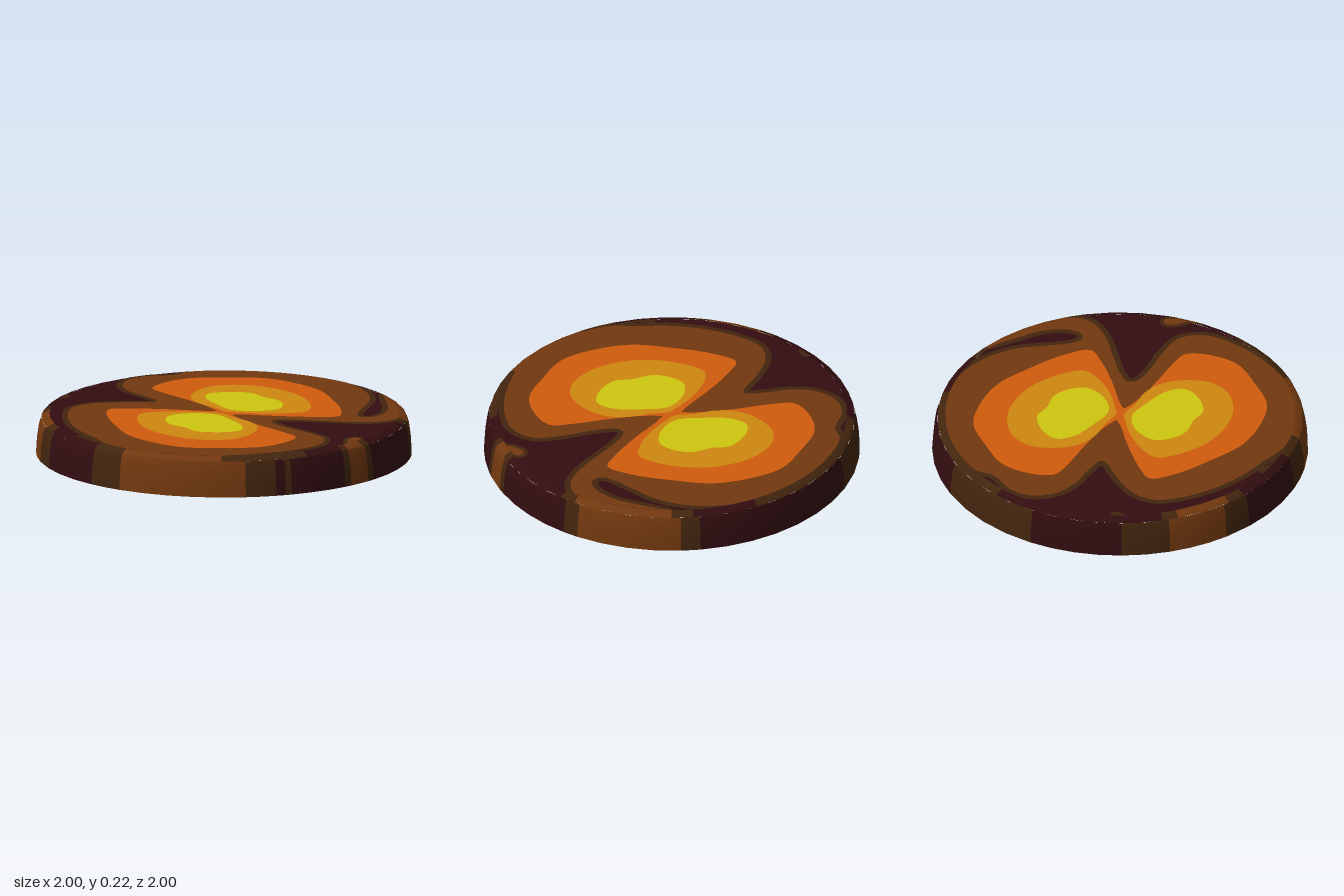
import * as THREE from 'three';

const mat = (name, color) => {
  const m = new THREE.MeshStandardMaterial({ color });
  m.name = name;
  return m;
};

export function createModel() {
  const group = new THREE.Group();
  const maroon = mat('maroon', 0x320d10), dark = mat('darkBrown', 0x42250e), brown = mat('brown', 0x72380f);
  const orange = mat('orange', 0xd05c0d), amber = mat('amber', 0xce880f), yellow = mat('yellow', 0xcec610);

  const add = (name, geometry, material) => {
    const mesh = new THREE.Mesh(geometry, material);
    mesh.name = name;
    group.add(mesh);
  };

  // Flat plate facing up from [x, z] outline points, smoothed, optionally grown outward
  const MAX_R = 0.93;
  const plate = (name, pts, y, material, grow = 0) => {
    const curve = new THREE.CatmullRomCurve3(pts.map(([x, z]) => new THREE.Vector3(x, -z, 0)), true);
    const line = curve.getPoints(pts.length * 6).slice(0, -1).map(p => new THREE.Vector2(p.x, p.y));
    const side = THREE.ShapeUtils.isClockWise(line) ? -1 : 1;
    const n = line.length;
    const outline = line.map((p, i) => {
      const t = line[(i + 1) % n].clone().sub(line[(i + n - 1) % n]).normalize();
      return new THREE.Vector2(p.x + t.y * side * grow, p.y - t.x * side * grow).clampLength(0, MAX_R);
    });
    add(name, new THREE.ShapeGeometry(new THREE.Shape(outline)).rotateX(-Math.PI / 2).translate(0, y, 0), material);
  };

  // Lathed bands around the rim: each entry is [end angle, colour], angles run from the front toward +x
  const bands = (name, profile, start, list) => {
    const points = profile.map(([r, y]) => new THREE.Vector2(r, y));
    let from = start;
    for (const [to, material] of list) {
      const span = to - from;
      add(name, new THREE.LatheGeometry(points, Math.ceil(span / 9),
        THREE.MathUtils.degToRad(from), THREE.MathUtils.degToRad(span)), material);
      from = to;
    }
  };
  bands('sideWall', [[1, 0], [0.995, 0.08], [0.985, 0.15], [0.972, 0.19]], -33, [
    [7.5, brown], [17, dark], [20, maroon], [22, dark], [41, maroon], [43.5, dark], [51, brown], [53.5, dark],
    [82, maroon], [87, dark], [120, brown], [126, dark], [184, maroon], [220, dark], [249, maroon],
    [264, dark], [283, brown], [292, dark], [316, maroon], [327, dark]]);
  bands('bevel', [[0.972, 0.19], [0.958, 0.203], [0.93, 0.212]], -33, [
    [0, brown], [28, dark], [41, maroon], [43.5, dark], [50, brown], [53, dark],
    [80, maroon], [85, dark], [117, brown], [124, dark], [145, maroon], [206, dark], [262, maroon],
    [267, dark], [285, brown], [291, dark], [316, maroon], [327, dark]]);

  // Top face and its stacked colour layers
  add('topFace', new THREE.CircleGeometry(0.932, 40).rotateX(-Math.PI / 2).translate(0, 0.2105, 0), maroon);
  const swirl = [
    [-0.36, -0.25], [-0.42, -0.35], [-0.5, -0.45], [-0.55, -0.58], [-0.52, -0.72], [-0.42, -0.8], [-0.28, -0.83],
    [-0.2, -0.9], [0, -0.93], [0.25, -0.9], [0.45, -0.83], [0.62, -0.7], [0.74, -0.5], [0.77, -0.3], [0.74, -0.15],
    [0.71, 0], [0.72, 0.06], [0.77, 0.08], [0.83, 0.03], [0.87, -0.1], [0.86, -0.25], [0.85, -0.42], [0.88, -0.45],
    [0.93, -0.3], [0.95, -0.1], [0.94, 0.08], [0.85, 0.17], [0.7, 0.19], [0.5, 0.16], [0.35, 0.14], [0.27, 0.15],
    [0.26, 0.2], [0.33, 0.3], [0.45, 0.42], [0.54, 0.55], [0.52, 0.68], [0.42, 0.78], [0.25, 0.87], [0, 0.93],
    [-0.2, 0.92], [-0.4, 0.85], [-0.6, 0.7], [-0.68, 0.55], [-0.76, 0.4], [-0.82, 0.2], [-0.83, 0], [-0.8, -0.12],
    [-0.7, -0.2], [-0.5, -0.23], [-0.4, -0.23]];
  plate('swirlEdge', swirl, 0.212, dark, 0.032);
  plate('swirl', swirl, 0.2135, brown);

  // Small stray patches near the rim
  const bump = [[0.66, 0.64], [0.67, 0.54], [0.71, 0.52], [0.74, 0.55], [0.72, 0.61], [0.69, 0.67]];
  plate('rimPatchEdge', bump, 0.212, dark, 0.015);
  plate('rimPatch', bump, 0.2135, brown, -0.008);
  plate('rimPatch', [[-0.92, -0.33], [-0.89, -0.38], [-0.83, -0.38], [-0.83, -0.34], [-0.88, -0.31]], 0.212, dark);
  plate('rimPatch', [[-0.78, 0.5], [-0.74, 0.5], [-0.71, 0.58], [-0.62, 0.62], [-0.62, 0.7], [-0.75, 0.6]], 0.212, dark);

  // Two glowing lobes, one the half-turn of the other
  const lobes = [
    ['outerLobe', orange, 0.215, [
      [-0.02, 0.02], [-0.05, -0.06], [-0.1, -0.15], [-0.2, -0.28], [-0.33, -0.43], [-0.39, -0.53], [-0.33, -0.65],
      [-0.2, -0.75], [0, -0.77], [0.2, -0.76], [0.36, -0.66], [0.5, -0.5], [0.57, -0.3], [0.62, -0.08],
      [0.61, 0.07], [0.5, 0.085], [0.3, 0.07], [0.12, 0.04]]],
    ['middleLobe', amber, 0.2165, [
      [0.01, -0.02], [-0.05, -0.1], [-0.14, -0.2], [-0.18, -0.3], [-0.17, -0.42], [-0.1, -0.55], [0, -0.6],
      [0.1, -0.6], [0.23, -0.55], [0.36, -0.43], [0.43, -0.3], [0.46, -0.12], [0.44, -0.03], [0.35, 0.01],
      [0.2, 0.02], [0.08, 0]]],
    ['innerLobe', yellow, 0.218, [
      [0.03, -0.06], [-0.03, -0.15], [-0.1, -0.3], [-0.09, -0.4], [0, -0.44], [0.14, -0.42], [0.2, -0.34],
      [0.28, -0.27], [0.31, -0.18], [0.29, -0.08], [0.2, -0.03], [0.09, -0.03]]],
  ];
  for (const [name, material, y, pts] of lobes)
    for (const s of [1, -1]) plate(name, pts.map(([x, z]) => [x * s, z * s]), y, material);

  // Underside: maroon disc with two wavy-edged segments toward the back right
  add('underside', new THREE.CircleGeometry(1, 40).rotateX(Math.PI / 2).translate(0, 0.004, 0), maroon);
  const segment = (name, top, bottom, y, material) => {
    const pts = [];
    for (let i = 0; i <= 16; i++) {
      const t = i / 16, v = THREE.MathUtils.lerp(0.9, -0.9, t);
      const limit = Math.sqrt(1 - v * v);
      const u = THREE.MathUtils.lerp(top, bottom, Math.sqrt(t)) + (i % 2 ? 0.03 : -0.03);
      pts.push([Math.min(u, limit), v]);
    }
    const a0 = Math.atan2(-0.9, Math.sqrt(0.19));
    for (let i = 0; i <= 14; i++) {
      const a = a0 * (1 - i / 7);
      pts.push([Math.cos(a), Math.sin(a)]);
    }
    const shape = new THREE.Shape(pts.map(([u, v]) => new THREE.Vector2(-0.83 * u + 0.56 * v, -0.56 * u - 0.83 * v)));
    add(name, new THREE.ShapeGeometry(shape).rotateX(Math.PI / 2).translate(0, y, 0), material);
  };
  segment('undersideEdge', 0.44, -0.17, 0.002, dark);
  segment('undersidePatch', 0.56, 0.12, 0, brown);

  return group;
}
